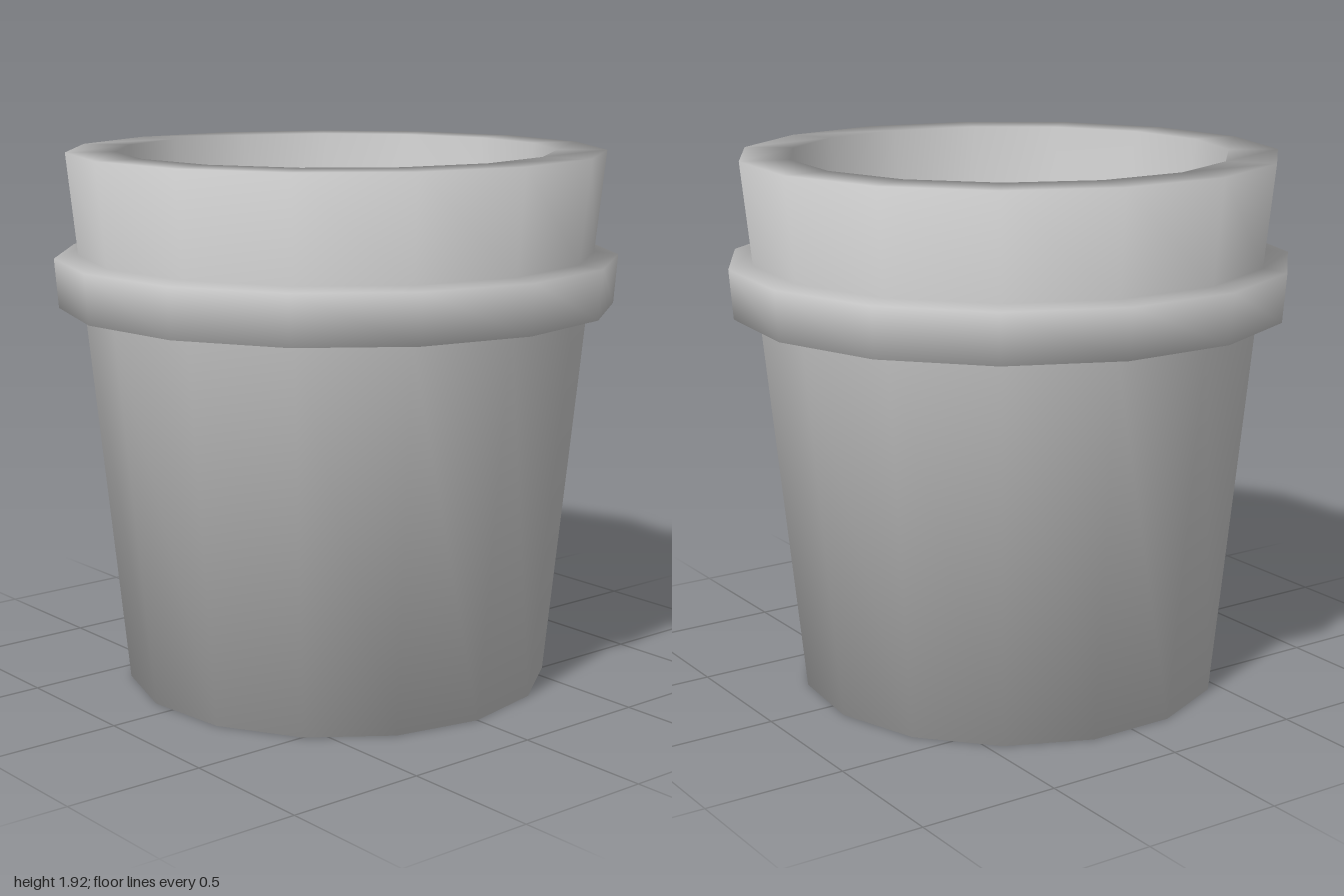
import * as THREE from 'three';

const SIDES = 15;

export function createModel() {
  const group = new THREE.Group();
  group.name = 'flowerPot';

  // Closed wall profile [radius, height]: underside, outside, rim, inside, floor
  const profile = [
    [0, 0], [0.766, 0],            // underside
    [0.902, 1.375],                // tapered body
    [0.992, 1.375], [1.0055, 1.55], // raised band
    [0.92, 1.56],
    [0.957, 1.92], [0.78, 1.92],   // collar and thick rim
    [0.61, 0.15], [0, 0.15],       // inner wall and floor
  ].map(([r, y]) => new THREE.Vector2(r, y));

  const geometry = new THREE.LatheGeometry(profile, SIDES);
  geometry.rotateY(Math.PI / 2);      // one corner points to +x
  geometry.translate(-0.011, 0, 0);   // an odd number of sides is off-centre in x

  const pot = new THREE.Mesh(geometry, new THREE.MeshStandardMaterial({ color: 0xcccccc }));
  pot.name = 'pot';
  group.add(pot);
  return group;
}
